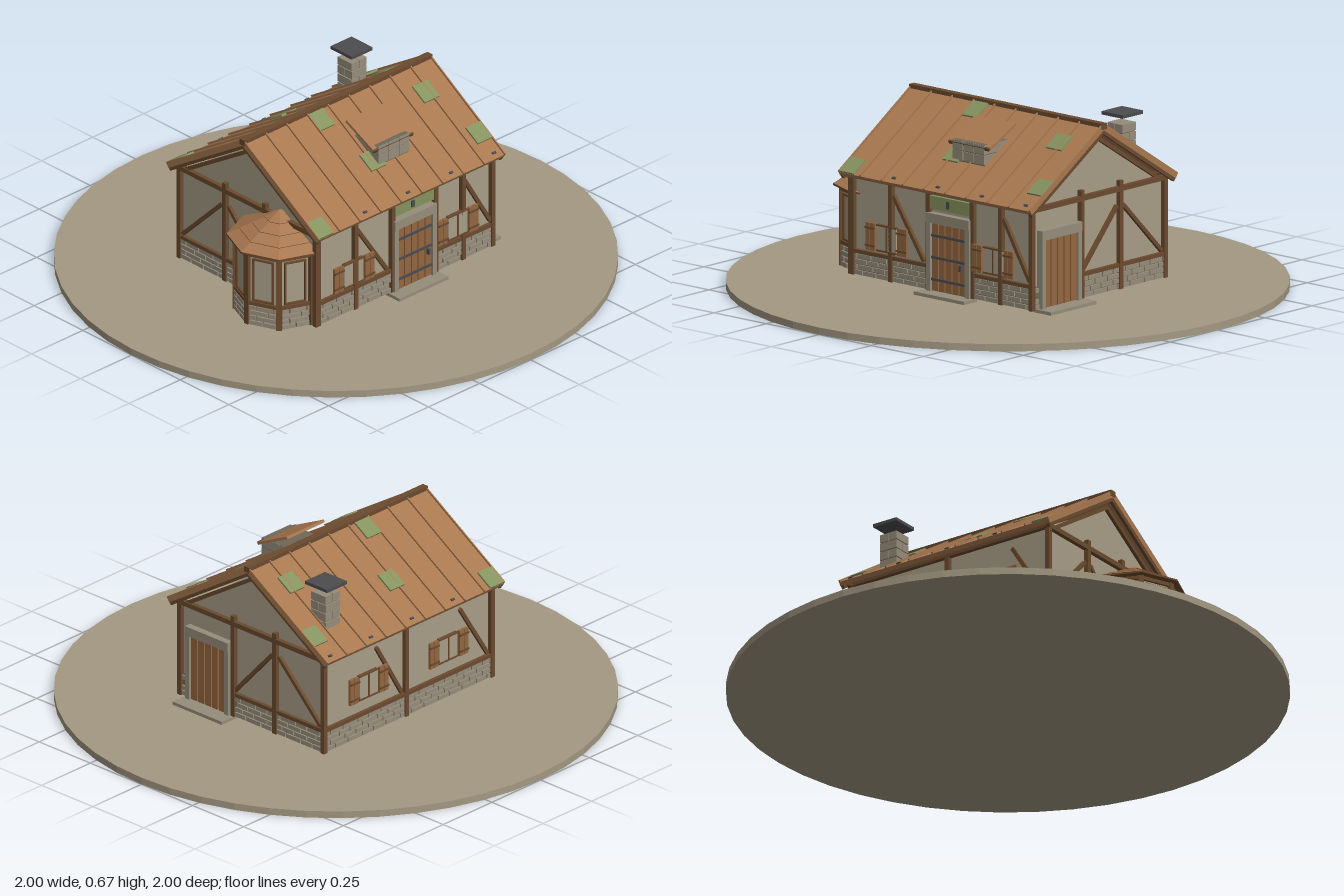
import * as THREE from 'three';

const mat = (name, color) => Object.assign(
  new THREE.MeshStandardMaterial({ color, flatShading: true }), { name });
const M = {
  earth: mat('earth', 0xa39882), plaster: mat('plaster', 0xa79d87),
  stone: mat('stone', 0x968d7b), mortar: mat('mortar', 0x706757),
  timber: mat('dark timber', 0x6b4a2e), plank: mat('plank', 0x94663f),
  roof: mat('roof boards', 0xa87850), iron: mat('iron', 0x4c4c50),
  moss: mat('moss', 0x84935f),
};

function add(parent, name, geometry, material, x = 0, y = 0, z = 0) {
  const mesh = new THREE.Mesh(geometry, material);
  mesh.name = name;
  mesh.position.set(x, y, z);
  parent.add(mesh);
  return mesh;
}
const box = (parent, name, material, w, h, d, x, y, z) =>
  add(parent, name, new THREE.BoxGeometry(w, h, d), material, x, y, z);

function group(parent, name, x = 0, y = 0, z = 0, turn = 0) {
  const g = new THREE.Group();
  g.name = name;
  g.position.set(x, y, z);
  g.rotation.y = turn;
  parent.add(g);
  return g;
}

// Timber running between two points
function beam(parent, name, a, b, w = 0.016, d = w) {
  const p = new THREE.Vector3(...a), q = new THREE.Vector3(...b);
  const dir = q.clone().sub(p), mid = p.clone().add(q).multiplyScalar(0.5);
  const m = box(parent, name, M.timber, w, dir.length(), d, mid.x, mid.y, mid.z);
  m.quaternion.setFromUnitVectors(new THREE.Vector3(0, 1, 0), dir.normalize());
  return m;
}

// Staggered stone courses along a wall's local x axis, facing local +z
function courses(parent, width, z, skip = []) {
  const rows = 4, h = 0.08 / rows;
  for (let r = 0; r < rows; r++) {
    let x = -width / 2, i = r;
    while (x < width / 2 - 0.005) {
      const w = Math.min(r % 2 && x === -width / 2 ? 0.03 : 0.055 + 0.02 * ((i * 7) % 3) / 2, width / 2 - x);
      const c = x + w / 2;
      if (!skip.some(([a, b]) => c > a && c < b))
        box(parent, 'baseStone', M.stone, Math.max(w - 0.005, 0.004), h - 0.004, 0.012, c, 0.04 + (r + 0.5) * h, z);
      x += w;
      i++;
    }
  }
}

// Shuttered window facing local +z
function shutteredWindow(parent, x, y, z) {
  const g = group(parent, 'window', x, y, z);
  box(g, 'windowPane', M.plaster, 0.09, 0.09, 0.008, 0, 0, 0.01);
  for (const s of [-1, 1]) {
    box(g, 'windowRail', M.timber, 0.095, 0.006, 0.014, 0, s * 0.046, 0.01);
    for (let i = 0; i < 2; i++)
      box(g, 'shutterBoard', M.plank, 0.021, 0.1, 0.01, s * (0.064 + i * 0.023), 0, 0.014);
    for (const t of [-1, 1])
      box(g, 'shutterBatten', M.timber, 0.046, 0.007, 0.005, s * 0.075, t * 0.032, 0.021);
  }
  box(g, 'mullion', M.timber, 0.006, 0.09, 0.012, 0, 0, 0.011);
}

// Plank door with stone surround, facing local +z
function door(parent, name, x, z, w, h, banded) {
  const g = group(parent, name, x, 0.04, z);
  for (const s of [-1, 1])
    box(g, 'doorJamb', M.stone, 0.02, h + 0.03, 0.026, s * (w / 2 + 0.01), (h + 0.03) / 2, 0.008);
  box(g, 'doorLintel', M.stone, w + 0.04, 0.035, 0.028, 0, h + 0.0175, 0.008);
  box(g, 'doorBacking', M.timber, w, h, 0.008, 0, h / 2, 0.002);
  for (let i = 0; i < 5; i++)
    box(g, 'doorPlank', M.plank, w / 5 - 0.005, h - 0.006, 0.012, (i - 2) * w / 5, h / 2, 0.008);
  if (banded) {
    for (const f of [0.18, 0.5, 0.82])
      box(g, 'ironBand', M.iron, w * 0.97, 0.009, 0.005, 0, h * f, 0.016);
    box(g, 'doorHandle', M.iron, 0.008, 0.022, 0.012, w * 0.38, h * 0.42, 0.02);
  }
}

function posts(parent, xs, z, top = 0.4) {
  for (const x of xs) beam(parent, 'post', [x, 0.04, z], [x, top, z], 0.018);
}

// One slope: local z runs down from the ridge
function roofSlope(parent, side) {
  const a = Math.atan(0.245 / 0.385), len = 0.456;
  const g = group(parent, side > 0 ? 'frontRoof' : 'backRoof', 0, 0.65, 0, side > 0 ? 0 : Math.PI);
  const s = group(g, 'slope');
  s.rotation.x = a;
  box(s, 'roofBoards', M.roof, 0.915, 0.016, len, 0, 0, len / 2);
  for (let i = 0; i <= 9; i++)
    box(s, 'roofSeam', M.roof, 0.005, 0.008, len, -0.455 + i * 0.91 / 9, 0.011, len / 2);
  for (const x of [-0.449, 0.449])
    box(s, 'bargeBoard', M.timber, 0.012, 0.014, len, x, -0.013, len / 2);
  for (let i = 0; i < 5; i++)
    box(s, 'roofNail', M.iron, 0.016, 0.006, 0.008, -0.42 + i * 0.21, 0.01, 0.365 / Math.cos(a));
  const patches = [[-0.42, 0.352], [-0.04, 0.225], [0.34, 0.098], [0.42, 0.287], [-0.116, 0.04]];
  for (const [x, z] of patches)
    box(s, 'mossPatch', M.moss, 0.072, 0.009, 0.075, side * x, 0.0105, z / Math.cos(a));
}

function bay(parent) {
  const g = group(parent, 'bayTurret', -0.43, 0, 0.165);
  const n = 8, r = 0.158;
  // Cylinder vertices lie on the axes, so one corner points outward
  add(g, 'bayWall', new THREE.CylinderGeometry(r, r, 0.29, n), M.plaster, 0, 0.185, 0);
  add(g, 'bayBase', new THREE.CylinderGeometry(r + 0.003, r + 0.003, 0.08, n), M.mortar, 0, 0.08, 0);
  for (const y of [0.127, 0.322])
    add(g, 'bayRail', new THREE.CylinderGeometry(r + 0.01, r + 0.01, 0.014, n), M.timber, 0, y, 0);
  for (let i = 0; i < 5; i++) {
    const t = Math.PI / 2 + i * Math.PI / 4;
    const p = box(g, 'bayPost', M.timber, 0.02, 0.29, 0.02, Math.cos(t) * r, 0.185, Math.sin(t) * r);
    p.rotation.y = -t;
    if (i === 4) continue;
    const m = t + Math.PI / 8, ap = r * Math.cos(Math.PI / 8);
    const f = group(g, 'bayFace', Math.cos(m) * ap, 0, Math.sin(m) * ap, Math.PI / 2 - m);
    courses(f, 0.108, 0.004);
    for (const s of [-1, 1]) {
      box(f, 'bayFrameSide', M.timber, 0.007, 0.17, 0.01, s * 0.038, 0.222, 0.002);
      box(f, 'bayFrameRail', M.timber, 0.076, 0.007, 0.01, 0, 0.222 + s * 0.082, 0.002);
    }
  }
  // Overlapping roof tiers
  for (let i = 0; i < 4; i++) {
    const R = 0.19 - i * 0.045;
    add(g, 'bayRoofTier', new THREE.CylinderGeometry(Math.max(R - 0.055, 0.006), R, 0.027, n), M.roof, 0, 0.352 + i * 0.024, 0);
    add(g, 'bayRoofEdge', new THREE.CylinderGeometry(R, R, 0.007, n), M.timber, 0, 0.335 + i * 0.024, 0);
  }
}

export function createModel() {
  const root = new THREE.Group();
  root.name = 'cottage';
  add(root, 'ground', new THREE.CylinderGeometry(1, 1, 0.026, 48), M.earth, 0, 0.013, 0);

  // Walls with gables, and stone footing
  const gable = new THREE.Shape([[-0.342, 0.04], [0.342, 0.04], [0.342, 0.405], [0.315, 0.405],
    [0, 0.605], [-0.315, 0.405], [-0.342, 0.405]].map(([x, y]) => new THREE.Vector2(x, y)));
  const walls = add(root, 'walls', new THREE.ExtrudeGeometry(gable, { depth: 0.844, bevelEnabled: false }), M.plaster, -0.422, 0, 0);
  walls.rotation.y = Math.PI / 2;
  box(root, 'footing', M.mortar, 0.854, 0.082, 0.694, 0, 0.081, 0);

  // Front wall
  const front = group(root, 'frontWall');
  courses(front, 0.86, 0.348, [[-0.07, 0.15]]);
  posts(front, [-0.423, -0.24, -0.06, 0.15, 0.285, 0.43], 0.35);
  beam(front, 'brace', [-0.23, 0.355, 0.348], [-0.085, 0.14, 0.348], 0.014);
  beam(front, 'brace', [0.295, 0.355, 0.348], [0.42, 0.145, 0.348], 0.014);
  shutteredWindow(front, -0.255, 0.193, 0.345);
  shutteredWindow(front, 0.253, 0.193, 0.345);
  door(front, 'frontDoor', 0.042, 0.346, 0.165, 0.25, true);
  box(front, 'doorPanel', M.moss, 0.2, 0.048, 0.012, 0.042, 0.362, 0.35);
  box(front, 'panelMark', M.iron, 0.014, 0.026, 0.006, 0.036, 0.362, 0.357);
  box(front, 'frontStep', M.stone, 0.24, 0.012, 0.07, 0.04, 0.035, 0.375);
  for (const [a, b] of [[-0.43, -0.06], [0.15, 0.43]])
    beam(front, 'sill', [a, 0.127, 0.35], [b, 0.127, 0.35], 0.014);

  // Back wall
  const back = group(root, 'backWall', 0, 0, 0, Math.PI);
  courses(back, 0.86, 0.348);
  posts(back, [-0.43, -0.01, 0.43], 0.35);
  beam(back, 'brace', [-0.16, 0.36, 0.346], [-0.03, 0.14, 0.346], 0.014);
  beam(back, 'brace', [0.27, 0.36, 0.346], [0.41, 0.14, 0.346], 0.014);
  beam(back, 'sill', [-0.43, 0.127, 0.35], [0.43, 0.127, 0.35], 0.014);
  for (const x of [-0.21, 0.2]) shutteredWindow(back, x, 0.235, 0.345);

  // Gable ends; local x runs along the wall
  for (const s of [1, -1]) {
    const g = group(root, s > 0 ? 'leftGable' : 'rightGable', 0, 0, 0, s * Math.PI / 2);
    const at = (z) => -s * z;
    courses(g, 0.69, 0.428, s > 0 ? [[at(0.31), at(0.1)]] : [[0.02, 0.31]]);
    posts(g, [at(0.09), at(-0.115)], 0.43, 0.435);
    posts(g, [0.35, -0.35], 0.43);
    beam(g, 'brace', [at(0.085), 0.14, 0.428], [at(-0.1), 0.345, 0.428], 0.014);
    beam(g, 'brace', [at(-0.335), 0.14, 0.428], [at(-0.13), 0.345, 0.428], 0.014);
    beam(g, 'tieBeam', [-0.37, 0.405, 0.43], [0.37, 0.405, 0.43], 0.018);
    beam(g, 'sill', [at(0.1), 0.127, 0.43], [at(-0.35), 0.127, 0.43], 0.014);
    for (const t of [-1, 1])
      beam(g, 'gableRafter', [t * 0.315, 0.41, 0.428], [0, 0.608, 0.428], 0.014);
    if (s > 0) {
      door(g, 'sideDoor', at(0.208), 0.426, 0.17, 0.25, false);
      box(g, 'sideStep', M.stone, 0.24, 0.012, 0.08, at(0.205), 0.035, 0.458);
    }
  }

  // Eave plates, ridge and roof
  for (const z of [-0.352, 0.352])
    beam(root, 'eavePlate', [-0.44, 0.407, z], [0.44, 0.407, z], 0.018);
  roofSlope(root, 1);
  roofSlope(root, -1);
  box(root, 'ridgeBeam', M.timber, 0.92, 0.022, 0.026, 0, 0.655, 0);

  // Roof hatch
  const hatch = group(root, 'dormer', 0.041, 0, 0);
  box(hatch, 'dormerBox', M.mortar, 0.148, 0.114, 0.13, 0, 0.519, 0.187);
  for (let r = 0; r < 2; r++)
    for (let i = 0; i < 3; i++)
      box(hatch, 'dormerStone', M.stone, 0.048, 0.034, 0.134, (i - 1) * 0.051, 0.521 + r * 0.0375, 0.188);
  const lid = box(hatch, 'dormerLid', M.roof, 0.192, 0.01, 0.158, 0, 0.596, 0.18);
  lid.rotation.x = 0.45;
  const lip = box(hatch, 'dormerLidEdge', M.timber, 0.192, 0.012, 0.008, 0, 0.563, 0.25);
  lip.rotation.x = 0.45;

  // Chimney in alternating courses
  const chimney = group(root, 'chimney', 0.317, 0, -0.25);
  box(chimney, 'chimneyCore', M.mortar, 0.064, 0.205, 0.064, 0, 0.5, 0);
  for (let r = 0; r < 6; r++)
    for (const s of [-1, 1]) {
      const y = 0.42 + r * 0.034;
      if (r % 2) box(chimney, 'chimneyStone', M.stone, 0.035, 0.03, 0.072, s * 0.019, y, 0);
      else box(chimney, 'chimneyStone', M.stone, 0.072, 0.03, 0.035, 0, y, s * 0.019);
    }
  box(chimney, 'chimneyCap', M.iron, 0.102, 0.012, 0.108, 0, 0.639, -0.003);

  bay(root);
  return root;
}
